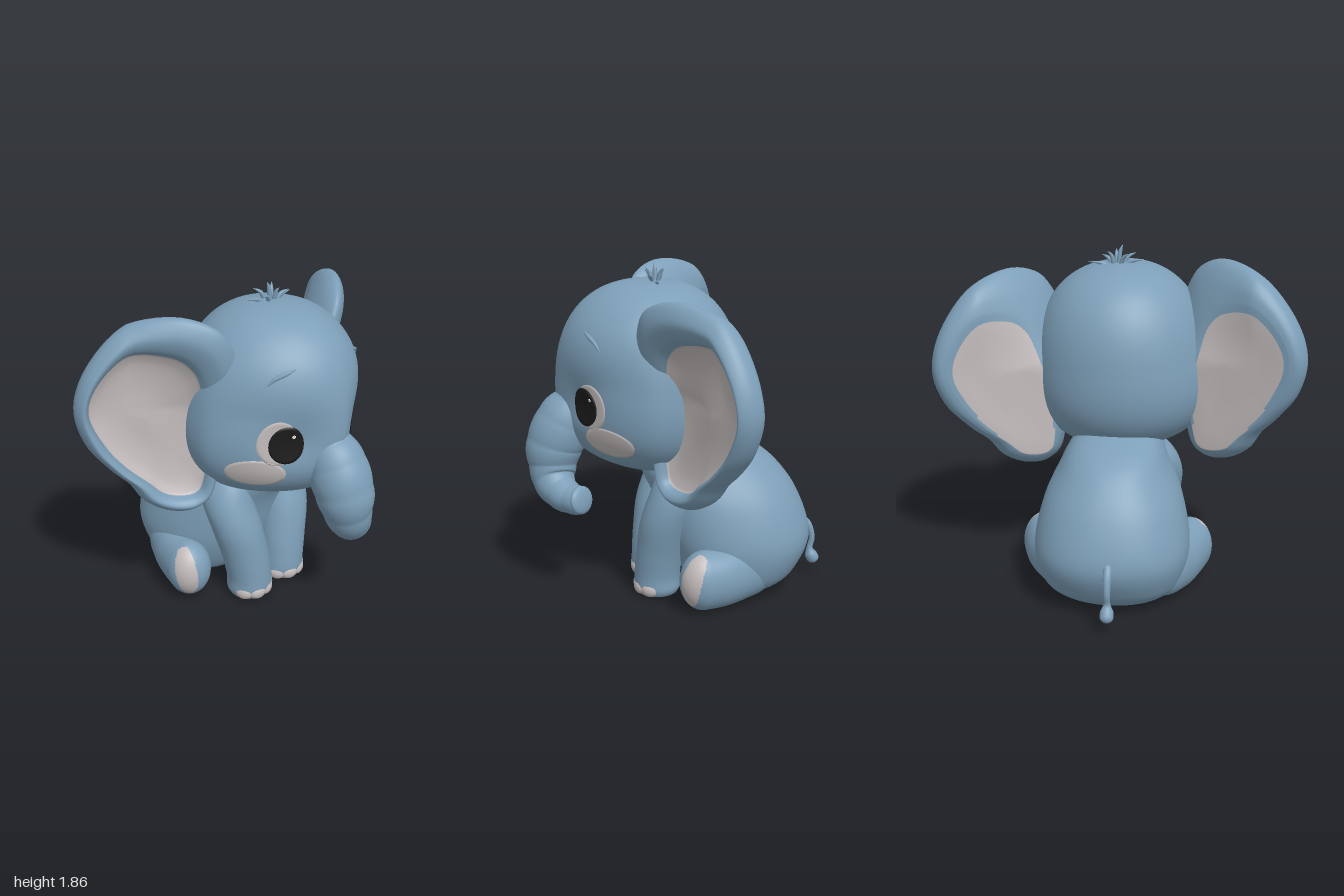
import * as THREE from 'three';

const mat = (name, color) => Object.assign(new THREE.MeshStandardMaterial({ color }), { name });
const V = (x, y, z) => new THREE.Vector3(x, y, z);
const TAU = Math.PI * 2;

// Smooth interpolation of every column of a small table, t from 0 to 1
function spline(rows, t) {
  const n = rows.length - 1, i = Math.min(Math.floor(t * n), n - 1), u = t * n - i;
  const at = k => rows[Math.max(0, Math.min(n, k))];
  return rows[0].map((_, c) => {
    const [a, b, d, e] = [at(i - 1)[c], at(i)[c], at(i + 1)[c], at(i + 2)[c]];
    return b + 0.5 * u * (d - a + u * (2 * a - 5 * b + 4 * d - e + u * (3 * (b - d) + e - a)));
  });
}

// Closed skin over rings of points; rule(centre, ring) picks the material index of each face
function skin(name, rings, materials, rule = () => 0) {
  const n = rings[0].length, faces = materials.map(() => []), centre = V(0, 0, 0);
  for (let i = 0; i < rings.length - 1; i++) for (let j = 0; j < n; j++) {
    const k = (j + 1) % n;
    const a = i * n + j, b = i * n + k, c = a + n, d = b + n;
    centre.copy(rings[i][j]).add(rings[i + 1][k]).multiplyScalar(0.5);
    faces[rule(centre, i)].push(a, b, d, a, d, c);
  }
  const geo = new THREE.BufferGeometry().setFromPoints(rings.flat());
  geo.setIndex(faces.flat());
  let start = 0;
  faces.forEach((f, m) => { geo.addGroup(start, f.length, m); start += f.length; });
  geo.computeVertexNormals();
  const mesh = new THREE.Mesh(geo, materials.length > 1 ? materials : materials[0]);
  mesh.name = name;
  return mesh;
}

const circle = (n, f) => Array.from({ length: n }, (_, j) => f(Math.cos(j / n * TAU), Math.sin(j / n * TAU)));

// Upright loft through rows of [y, cx, cz, rx, rz]; power below 1 squares the section
function loft(name, rows, materials, power = 1) {
  const steps = 48, sq = v => Math.sign(v) * Math.abs(v) ** power;
  const ring = ([y, cx, cz, rx, rz]) => circle(56, (c, s) => V(cx + rx * sq(s), y, cz + rz * sq(c)));
  const rings = [];
  for (let i = 0; i <= steps; i++) rings.push(ring(spline(rows, i / steps)));
  const flat = r => [r[0], r[1], r[2], 0, 0];
  return skin(name, [ring(flat(rows[0])), ...rings, ring(flat(rows.at(-1)))], materials);
}

// Tapering limb through rows of [x, y, z, radius] with a rounded end
function limb(name, rows, materials, { ref = V(0, 1, 0), ratio = 1, round = 1, steps = 40, sides = 40, cap = 12, ripple, rule } = {}) {
  const rings = [];
  const add = (p, t, r) => {
    const b = ref.clone().addScaledVector(t, -ref.dot(t)).normalize(), c = t.clone().cross(b);
    rings.push(circle(sides, (co, si) => p.clone().addScaledVector(b, r * co).addScaledVector(c, r * ratio * si)));
  };
  const point = t => V(...spline(rows, t));
  let p, t, r;
  for (let i = 0; i <= steps; i++) {
    const q = i / steps;
    p = point(q);
    t = point(Math.min(1, q + 0.01)).sub(point(Math.max(0, q - 0.01))).normalize();
    r = spline(rows, q)[3];
    add(p, t, r * (ripple ? ripple(q) : 1));
  }
  for (let i = 1; i <= cap; i++) {
    const a = i / cap * Math.PI / 2;
    add(p.clone().addScaledVector(t, r * round * Math.sin(a)), t, r * Math.cos(a));
  }
  return skin(name, rings, materials, rule);
}

// Head surface in a given direction from its centre: fuller cheeks, pointed muzzle, shallow eye sockets
const headCentre = V(0, 1.25, 0.16);
function headPoint(dir, lift = 0) {
  const d = dir.clone().normalize();
  const p = d.z > 0 ? 1.52 + 0.3 * THREE.MathUtils.smoothstep(d.y, 0, 0.6) : 2;
  const h = (Math.abs(d.x / 0.5) ** p + Math.abs(d.z / 0.51) ** p) ** (1 / p);
  const k = (h ** 2.5 + Math.abs(d.y / 0.515) ** 2.5) ** -0.4;
  const q = d.clone().multiplyScalar(k);
  q.x *= 1 - 0.25 * q.y;
  q.z *= 1 - 0.14 * q.y;
  if (d.z > 0) q.z -= 0.045 * Math.exp(-((Math.abs(q.x) - 0.23) ** 2 + (q.y + 0.11) ** 2) / 0.016) * Math.min(1, d.z * 4);
  return q.addScaledVector(d, lift).add(headCentre);
}

// Thin oval patch that follows the head
function patch(name, c, a, b, lift, material) {
  const u = V(0, 1, 0).cross(c).normalize(), v = c.clone().normalize().cross(u), rings = [];
  for (let i = 0; i <= 8; i++) {
    const g = i === 0 ? 1 : (8 - i) / 7, l = i === 0 ? -0.004 : lift;
    rings.push(circle(48, (co, si) => headPoint(c.clone().addScaledVector(u, a * g * co).addScaledVector(v, b * g * si), l)));
  }
  return skin(name, rings, [material]);
}

// Ear: outer edge x, y, then edge of the inner hollow x, y
const earOutline = [
  [0.36, 1.56, 0.46, 1.35], [0.45, 1.71, 0.51, 1.47], [0.60, 1.77, 0.60, 1.55], [0.78, 1.70, 0.76, 1.56],
  [0.93, 1.50, 0.89, 1.42], [0.99, 1.29, 0.93, 1.26], [0.95, 1.10, 0.86, 1.08], [0.85, 0.95, 0.77, 0.95],
  [0.76, 0.85, 0.67, 0.85], [0.69, 0.74, 0.60, 0.78], [0.58, 0.67, 0.52, 0.755], [0.46, 0.67, 0.45, 0.77],
  [0.37, 0.78, 0.42, 0.85], [0.34, 1.15, 0.40, 1.12], [0.36, 1.56, 0.46, 1.35],
];
// Ear section from back centre over the rim to front centre: reach (1 hollow edge, 2 outer edge), depth, back swell
const earSection = [
  [0, -0.08, 1], [0.45, -0.08, 1], [0.85, -0.085, 1], [1.15, -0.085, 0.9], [1.55, -0.075, 0.6], [1.88, -0.045, 0.2], [2, 0.005, 0],
  [1.88, 0.05, 0], [1.55, 0.085, 0], [1.2, 0.065, 0], [1, 0.02, 0], [0.8, -0.01, 0], [0.45, -0.025, 0], [0, -0.02, 0],
];
function ear(s, materials) {
  const steps = 78, sides = 84, reach = [], rings = [];
  for (let i = 0; i <= steps; i++) {
    const [f, depth, swell] = spline(earSection, i / steps);
    reach.push(f);
    const ring = [];
    for (let j = 0; j < sides; j++) {
      const [ox, oy, ix, iy] = spline(earOutline, j / sides);
      const g = Math.max(0, f - 1), m = Math.min(1, f);
      const x = 0.68 + (ix - 0.68) * m + (ox - ix) * g;
      const y = 1.2 + (iy - 1.2) * m + (oy - iy) * g;
      const curl = Math.max(0, y - 1.25) * Math.max(0, 0.75 - x);
      const z = 0.08 - 0.6 * (x - 0.4) + curl - 0.2 * swell * Math.max(0, 0.95 - x);
      ring.push(V(s * (x + 0.4 * depth), y, z + 0.86 * depth));
    }
    rings.push(s > 0 ? ring.reverse() : ring);
  }
  return skin(s > 0 ? 'leftEar' : 'rightEar', rings, materials, (c, i) => {
    const limit = i > steps / 2 ? 1.02 : 0.9 + 0.4 * Math.max(0, 1.1 - c.y);
    return (reach[i] + reach[i + 1]) / 2 < limit ? 1 : 0;
  });
}

export function createModel() {
  const blue = mat('blueSkin', 0x7d9fb8), pale = mat('paleSkin', 0xc2bbbb);
  const black = mat('pupilBlack', 0x1c1c1c), white = mat('glintWhite', 0xffffff);
  const model = new THREE.Group();
  model.name = 'babyElephant';

  // Body
  model.add(loft('body', [
    [0.015, 0, -0.37, 0.2, 0.17], [0.05, 0.01, -0.34, 0.32, 0.26], [0.14, 0.015, -0.345, 0.39, 0.345],
    [0.32, 0.015, -0.34, 0.425, 0.42], [0.55, 0.015, -0.275, 0.38, 0.415], [0.72, 0.015, -0.18, 0.3, 0.39],
    [0.82, 0.01, -0.125, 0.25, 0.315], [0.9, 0, -0.06, 0.18, 0.18], [0.96, 0, 0, 0.06, 0.06],
  ], [blue], 0.9));

  // Head, tilted slightly to one side
  const head = new THREE.Group(), tilt = 0.06;
  head.name = 'head';
  head.rotation.z = -tilt;
  head.position.set(-1.25 * Math.sin(tilt), 1.25 * (1 - Math.cos(tilt)), 0);
  model.add(head);
  const skullRings = [];
  for (let i = 0; i <= 72; i++) {
    const a = (i / 72 - 0.5) * Math.PI;
    skullRings.push(circle(96, (c, s) => headPoint(V(Math.cos(a) * s, Math.sin(a), Math.cos(a) * c))));
  }
  head.add(skin('skull', skullRings, [blue]));

  for (const s of [1, -1]) {
    const side = s > 0 ? 'left' : 'right';
    // Face and ears
    head.add(ear(s, [blue, pale]));
    head.add(patch(side + 'Cheek', V(s * 0.385, -0.32, 0.265), 0.18, 0.1, 0.004, pale));
    head.add(patch(side + 'EyeWhite', V(s * 0.285, -0.095, 0.33), 0.11, 0.12, 0.004, pale));
    head.add(patch(side + 'Pupil', V(s * 0.255, -0.105, 0.37), 0.093, 0.102, 0.009, black));
    head.add(patch(side + 'Glint', V(s * 0.255 + 0.035, -0.06, 0.37 - s * 0.02), 0.009, 0.009, 0.012, white));
    const brow = [[0.24, 0.29, 0.36, 0.003], [0.29, 0.275, 0.34, 0.012], [0.34, 0.25, 0.31, 0.01], [0.37, 0.22, 0.29, 0.003]]
      .map(([x, y, z, r]) => [...headPoint(V(s * x, y, z)).toArray(), r]);
    head.add(limb(side + 'Brow', brow, [blue], { steps: 16, sides: 10, cap: 4 }));

    // Front leg with toes and sole
    model.add(loft(side + 'FrontLeg', [
      [0.005, s * 0.138, 0.125, 0.115, 0.115], [0.04, s * 0.138, 0.125, 0.13, 0.13], [0.12, s * 0.14, 0.125, 0.13, 0.13],
      [0.27, s * 0.16, 0.11, 0.138, 0.135], [0.45, s * 0.195, 0.08, 0.145, 0.142], [0.6, s * 0.21, 0.025, 0.14, 0.148],
      [0.73, s * 0.19, -0.02, 0.115, 0.14], [0.84, s * 0.16, -0.03, 0.04, 0.06],
    ], [blue]));
    const sole = new THREE.Mesh(new THREE.CircleGeometry(0.118, 40).rotateX(Math.PI / 2).translate(s * 0.138, 0.001, 0.125), pale);
    sole.name = side + 'FrontSole';
    model.add(sole);
    for (let i = 0; i < 4; i++) {
      const a = (i - 1.5) * 0.72;
      const toe = new THREE.Mesh(new THREE.SphereGeometry(1, 20, 14).scale(0.052, 0.042, 0.03), pale);
      toe.name = side + 'Toe';
      toe.position.set(s * 0.138 + 0.108 * Math.sin(a), 0.043, 0.125 + 0.11 * Math.cos(a));
      toe.rotation.y = a;
      model.add(toe);
    }

    // Hind leg growing out of the body, splayed forward, with a pale pad on the outer front of the foot
    const padCentre = V(s * 0.485 + 0.01, 0.2, -0.045);
    model.add(limb(side + 'HindLeg', [
      [s * 0.16, 0.22, -0.54, 0.06], [s * 0.255, 0.2, -0.42, 0.165], [s * 0.33, 0.18, -0.3, 0.17],
      [s * 0.385 + 0.01, 0.175, -0.2, 0.165], [s * 0.415 + 0.01, 0.178, -0.105, 0.168],
    ], [blue, pale], {
      ratio: 0.76, round: 0.8, sides: 88, cap: 36, steps: 70,
      rule: c => {
        const d = c.clone().sub(padCentre), dx = s * d.x - 0.15 * d.y;
        const across = dx * 0.72 - d.z * 0.69, out = dx * 0.69 + d.z * 0.72;
        return out > -0.07 && (d.y / 0.145) ** 2 + (across / 0.063) ** 2 < 1 ? 1 : 0;
      },
    }));
  }

  // Trunk, wrinkled and curling to the left
  model.add(limb('trunk', [
    [0, 1.22, 0.54, 0.07], [0, 1.1, 0.565, 0.122], [0, 0.98, 0.63, 0.158], [0, 0.84, 0.688, 0.158],
    [0.02, 0.72, 0.70, 0.132], [0.06, 0.645, 0.69, 0.115], [0.13, 0.6, 0.645, 0.096],
    [0.195, 0.587, 0.585, 0.083], [0.235, 0.595, 0.545, 0.078],
  ], [blue], {
    ref: V(1, 0, 0), round: 0.35, steps: 90,
    ripple: q => 1 + 0.045 * Math.min(1, q * 2.5) * (Math.abs(Math.sin(q * 26)) ** 0.6 - 0.7),
  }));

  // Tuft of hair: tip positions
  [[-0.12, 1.785, 0.10], [-0.07, 1.81, 0.17], [-0.04, 1.82, 0.06], [0.0, 1.86, 0.12], [0.04, 1.83, 0.17],
    [0.08, 1.83, 0.08], [0.12, 1.80, 0.16], [0.19, 1.765, 0.11]].forEach(([x, y, z]) => {
    const bx = 0.025 + x * 0.25, bz = 0.12 + (z - 0.12) * 0.3;
    model.add(limb('hairStrand', [
      [bx, 1.735, bz, 0.013], [bx + (x - bx) * 0.4, 1.75 + (y - 1.75) * 0.65, bz + (z - bz) * 0.4, 0.011], [x, y, z, 0.001],
    ], [blue], { ref: V(0.1, 0.2, 1), steps: 10, sides: 8, cap: 2 }));
  });

  // Tail with a small tuft
  model.add(limb('tail', [
    [0, 0.37, -0.72, 0.022], [0, 0.31, -0.775, 0.022], [0, 0.23, -0.80, 0.018], [0, 0.165, -0.79, 0.018],
    [0, 0.125, -0.797, 0.034], [0, 0.1, -0.81, 0.036],
  ], [blue], { ref: V(1, 0, 0), steps: 36, sides: 20, round: 0.9 }));

  return model;
}
